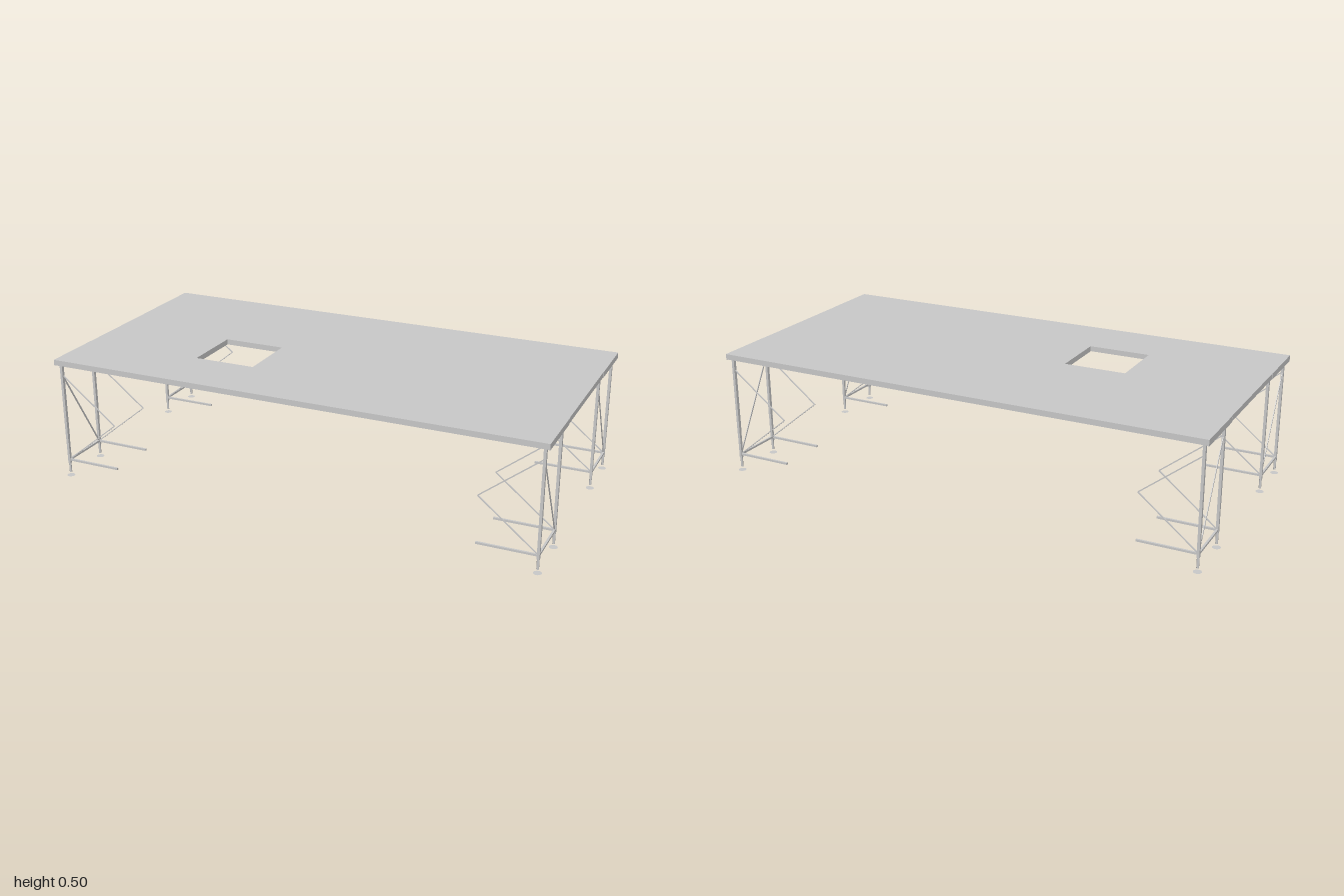
import * as THREE from 'three';

const metal = new THREE.MeshStandardMaterial({ color: 0xcacaca, side: THREE.DoubleSide });
metal.name = 'grey metal';

function add(parent, name, geometry, x = 0, y = 0, z = 0) {
  const mesh = new THREE.Mesh(geometry, metal);
  mesh.name = name;
  mesh.position.set(x, y, z);
  parent.add(mesh);
  return mesh;
}

// rectangular bar between two points
function bar(parent, name, a, b, width, depth) {
  const p = new THREE.Vector3(...a), q = new THREE.Vector3(...b);
  const dir = q.clone().sub(p);
  const mesh = add(parent, name, new THREE.BoxGeometry(width, dir.length(), depth));
  mesh.position.copy(p).add(q).multiplyScalar(0.5);
  mesh.quaternion.setFromUnitVectors(new THREE.Vector3(0, 1, 0), dir.normalize());
}

// counter-clockwise rectangle, with z mapped to -y of the shape
function rectPoints(x0, x1, z0, z1) {
  return [[x0, z1], [x1, z1], [x1, z0], [x0, z0]].map(([x, z]) => new THREE.Vector2(x, -z));
}

// flat slab lying in xz, from yBottom upward
function slab(parent, name, shape, yBottom, depth) {
  const geometry = new THREE.ExtrudeGeometry(shape, { depth, bevelEnabled: false });
  geometry.rotateX(-Math.PI / 2);
  add(parent, name, geometry, 0, yBottom, 0);
}

// frame with a chamfered opening, inner board, cross ribs and corner plates
function panel(parent, x0, x1, z0, z1) {
  const group = new THREE.Group();
  group.name = 'deckPanel';
  parent.add(group);
  const t = 0.012, c = 0.045;
  const l = x0 + t, r = x1 - t, b = z0 + t, f = z1 - t;
  const zc = (z0 + z1) / 2;
  const shape = new THREE.Shape(rectPoints(x0, x1, z0, z1));
  shape.holes.push(new THREE.Path([
    [l + c, b], [r - c, b], [r, b + c], [r, f - c],
    [r - c, f], [l + c, f], [l, f - c], [l, b + c],
  ].map(([x, z]) => new THREE.Vector2(x, -z))));
  slab(group, 'panelFrame', shape, 0.48, 0.02);
  add(group, 'panelBoard', new THREE.BoxGeometry(r - l, 0.007, f - b), (x0 + x1) / 2, 0.4965, zc);

  const ribs = Math.round((x1 - x0) / 0.125) - 1;
  for (let i = 1; i <= ribs; i++) {
    const x = x0 + (x1 - x0) * i / (ribs + 1);
    add(group, 'crossRib', new THREE.BoxGeometry(0.01, 0.012, f - b), x, 0.487, zc);
  }
  for (const x of [x0 + 0.018, x1 - 0.018])
    for (const z of [z0 + 0.022, z1 - 0.022])
      add(group, 'cornerPlate', new THREE.BoxGeometry(0.02, 0.003, 0.02), x, 0.479, z);
}

// leg frame: a pair of legs with brace, bottom rail and folding struts
function legFrame(parent, side, zFront, zBack) {
  const group = new THREE.Group();
  group.name = 'legFrame';
  parent.add(group);
  const x = side * 0.98, xIn = side * 0.75;
  for (const z of [zFront, zBack]) {
    bar(group, 'upperLeg', [x, 0.16, z], [x, 0.482, z], 0.0105, 0.0125);
    bar(group, 'lowerLeg', [x, 0.055, z], [x, 0.16, z], 0.0105, 0.0105);
    add(group, 'footSpindle', new THREE.CylinderGeometry(0.005, 0.005, 0.04, 14), x, 0.035, z);
    add(group, 'footDisc', new THREE.CircleGeometry(0.016, 20).rotateX(-Math.PI / 2), x, 0, z);
    bar(group, 'bottomStrut', [x, 0.07, z], [xIn, 0.07, z], 0.008, 0.008);
    bar(group, 'lowerFoldingStrut', [x, 0.07, z], [xIn, 0.255, z], 0.004, 0.004);
    bar(group, 'upperFoldingStrut', [xIn, 0.255, z], [x, 0.435, z], 0.004, 0.004);
  }
  bar(group, 'bottomRail', [x, 0.07, zFront], [x, 0.07, zBack], 0.008, 0.008);
  bar(group, 'diagonalBrace', [x, 0.435, zFront], [x, 0.07, zBack], 0.003, 0.006);
}

export function createModel() {
  const stage = new THREE.Group();
  stage.name = 'stagePlatform';

  // thin deck sheet with a square hatch
  const e = 0.999;
  const top = new THREE.Shape(rectPoints(-e, e, -0.5, 0.5));
  top.holes.push(new THREE.Path(rectPoints(-0.5, -0.25, 0, 0.25)));
  slab(stage, 'deckSheet', top, 0.5, 0.002);

  // four by four panels with narrow gaps, half a panel left out for the hatch
  const zEdges = [[-0.5, -0.253], [-0.248, 0], [0, 0.248], [0.253, 0.5]];
  for (let i = 0; i < 4; i++) {
    zEdges.forEach(([z0, z1], j) => {
      const hatch = i === 1 && j === 2;
      const x0 = hatch ? -0.25 : Math.max(-e, -1 + i * 0.5);
      panel(stage, x0, Math.min(e, -0.5 + i * 0.5), z0, z1);
    });
  }

  // end plates and leg frames at the four corners
  for (const side of [-1, 1]) {
    for (const zc of [0.3765, -0.3765])
      add(stage, 'endPlate', new THREE.BoxGeometry(0.004, 0.024, 0.247), side * 0.998, 0.49, zc);
    legFrame(stage, side, 0.48, 0.272);
    legFrame(stage, side, -0.272, -0.48);
  }
  return stage;
}
